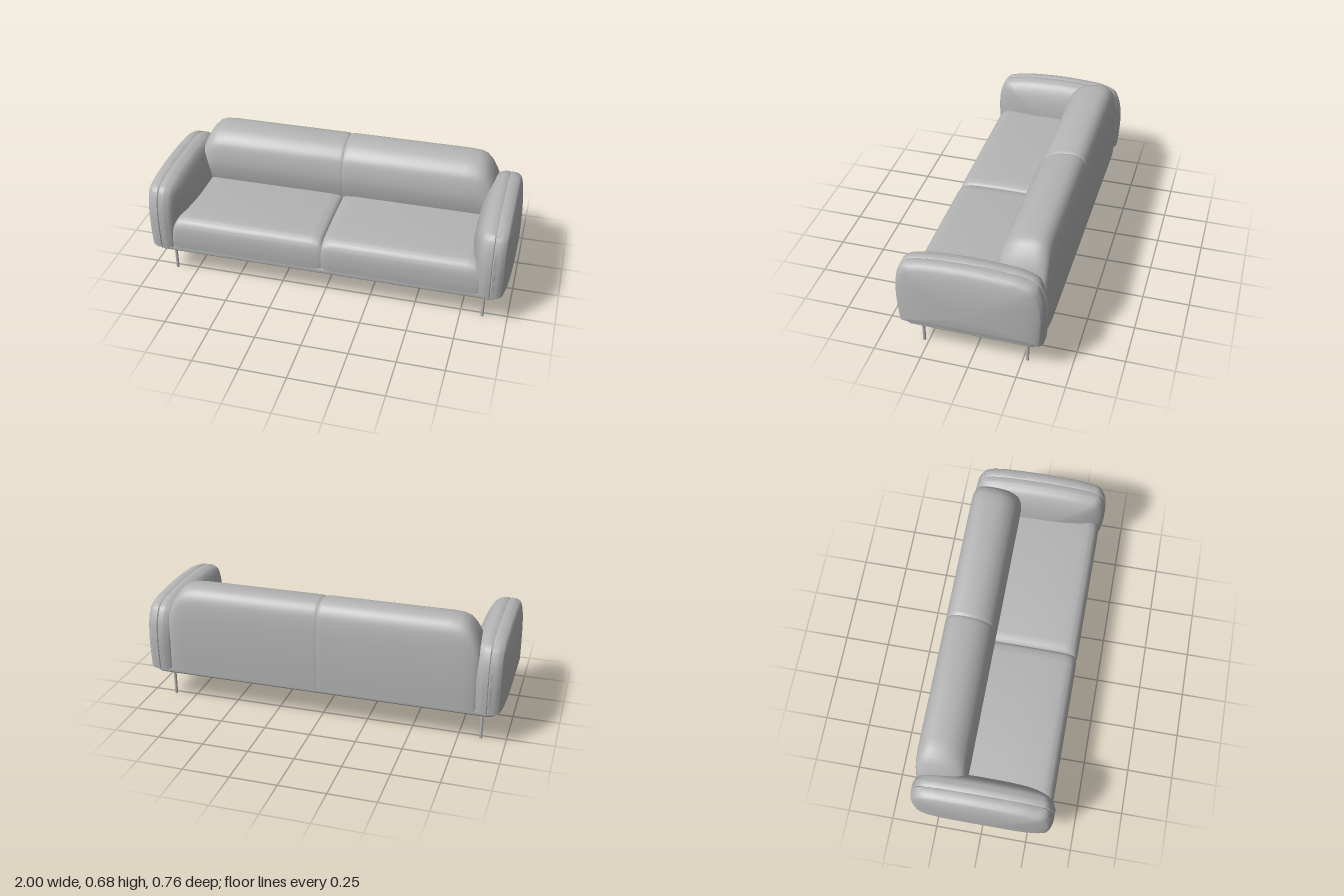
import * as THREE from 'three';
import { toCreasedNormals } from 'three/addons/utils/BufferGeometryUtils.js';

// Lofts a (z, y) outline along x. Each ring is [x, zScale, yScale] about centre [z, y].
function loft(outline, centre, rings, side, samples = 44) {
  const pts = new THREE.SplineCurve(outline.map(([z, y]) => new THREE.Vector2(z, y))).getPoints(samples);
  const n = pts.length, pos = [], idx = [];
  const tri = (a, b, c) => (side > 0 ? idx.push(a, b, c) : idx.push(a, c, b));
  for (const [x, sz, sy] of rings) {
    for (const p of pts) {
      pos.push(side * x, centre[1] + (p.y - centre[1]) * sy, centre[0] + (p.x - centre[0]) * sz);
    }
  }
  for (let i = 0; i < rings.length - 1; i++) {
    for (let j = 0; j < n; j++) {
      const k = (j + 1) % n;
      const a = i * n + j, b = i * n + k, c = a + n, d = b + n;
      tri(a, c, d);
      tri(a, d, b);
    }
  }
  // end caps
  const last = rings.length - 1;
  const first = pos.length / 3;
  const midY = centre[1] + 0.01;
  pos.push(side * rings[0][0], midY, centre[0], side * rings[last][0], midY, centre[0]);
  for (let j = 0; j < n; j++) {
    const k = (j + 1) % n;
    tri(first, j, k);
    tri(first + 1, last * n + k, last * n + j);
  }
  const geo = new THREE.BufferGeometry();
  geo.setAttribute('position', new THREE.Float32BufferAttribute(pos, 3));
  geo.setIndex(idx);
  return toCreasedNormals(geo, 0.7);
}

// Arm: domed inner face, flat centre strip with a shallow seam, gently domed outer face
function armRings() {
  const rings = [];
  const steps = 12;
  for (let i = 0; i <= steps; i++) {
    const s = Math.sin(Math.max(0.03, i / steps) * Math.PI / 2) * 0.985;
    rings.push([0.86 - 0.09 * Math.sqrt(1 - (s / 0.985) ** 2), s, s]);
  }
  rings.push([0.868, 0.997, 0.997], [0.875, 1, 1], [0.898, 1, 1], [0.903, 0.988, 0.988], [0.908, 1, 1],
    [0.93, 0.997, 0.997], [0.945, 0.985, 0.985]);
  for (let i = steps; i >= 0; i--) {
    const s = Math.sin(Math.max(0.03, i / steps) * Math.PI / 2);
    rings.push([0.952 + 0.048 * Math.sqrt(1 - s * s), s * 0.97, s * 0.97]);
  }
  return rings;
}

export function createModel() {
  const sofa = new THREE.Group();
  sofa.name = 'sofa';
  const fabric = new THREE.MeshStandardMaterial({ color: 0xb4b4b4 });
  fabric.name = 'grey';

  const add = (name, geo, x = 0, y = 0, z = 0) => {
    const mesh = new THREE.Mesh(geo, fabric);
    mesh.name = name;
    mesh.position.set(x, y, z);
    sofa.add(mesh);
    return mesh;
  };

  const armOutline = [[0.37, 0.195], [0.378, 0.29], [0.38, 0.39], [0.372, 0.47], [0.355, 0.525], [0.335, 0.553],
    [0.3, 0.567], [0.2, 0.584], [0, 0.593], [-0.2, 0.584], [-0.27, 0.573], [-0.325, 0.553], [-0.35, 0.52],
    [-0.37, 0.46], [-0.379, 0.37], [-0.376, 0.28], [-0.37, 0.195]];
  const seatOutline = [[0.357, 0.195], [0.362, 0.25], [0.361, 0.31], [0.35, 0.35], [0.325, 0.374], [0.28, 0.384],
    [0.15, 0.389], [0, 0.389], [-0.2, 0.385], [-0.3, 0.375], [-0.3, 0.195]];
  const backOutline = [[-0.12, 0.195], [-0.115, 0.34], [-0.098, 0.42], [-0.09, 0.5], [-0.105, 0.59], [-0.13, 0.633],
    [-0.17, 0.664], [-0.22, 0.68], [-0.285, 0.683], [-0.325, 0.669], [-0.352, 0.635], [-0.365, 0.58],
    [-0.372, 0.48], [-0.373, 0.33], [-0.368, 0.195]];

  const seatRings = [[0, 0.985, 0.88], [0.006, 0.99, 0.93], [0.02, 0.996, 0.97], [0.06, 1, 1], [0.77, 1, 1],
    [0.805, 1, 0.985], [0.83, 0.997, 0.93], [0.843, 0.992, 0.85], [0.848, 0.985, 0.78]];
  const backRings = [[0, 0.985, 0.985], [0.006, 0.995, 0.993], [0.02, 1, 1], [0.68, 1, 1], [0.735, 0.998, 0.99],
    [0.77, 0.99, 0.962], [0.8, 0.975, 0.895], [0.825, 0.945, 0.805], [0.842, 0.9, 0.73], [0.85, 0.84, 0.68]];

  for (const side of [1, -1]) {
    const label = side > 0 ? 'left' : 'right';
    add(label + 'Arm', loft(armOutline, [0, 0.33], armRings(), side, 64));
    add(label + 'SeatCushion', loft(seatOutline, [0, 0.195], seatRings, side));
    add(label + 'Backrest', loft(backOutline, [-0.24, 0.195], backRings, side));

    // thin legs with small mounting discs
    for (const z of [0.275, -0.273]) {
      const end = z > 0 ? 'Front' : 'Back';
      add(label + end + 'Leg', new THREE.CylinderGeometry(0.008, 0.008, 0.165, 16), side * 0.868, 0.0825, z);
      add(label + end + 'LegDisc', new THREE.CylinderGeometry(0.015, 0.015, 0.004, 16), side * 0.868, 0.162, z);
    }
  }

  // base plate with rounded lower edge
  const w = 0.92, d = 0.325, r = 0.025;
  const plate = new THREE.Shape();
  plate.absarc(w - r, d - r, r, 0, Math.PI / 2);
  plate.absarc(-w + r, d - r, r, Math.PI / 2, Math.PI);
  plate.absarc(-w + r, -d + r, r, Math.PI, Math.PI * 1.5);
  plate.absarc(w - r, -d + r, r, Math.PI * 1.5, Math.PI * 2);
  plate.closePath();
  const plateGeo = new THREE.ExtrudeGeometry(plate, {
    depth: 0.006, bevelThickness: 0.024, bevelSize: 0.033, bevelSegments: 5, curveSegments: 6,
  });
  plateGeo.rotateX(-Math.PI / 2);
  add('basePlate', toCreasedNormals(plateGeo, 0.6), 0, 0.188, 0);

  return sofa;
}
